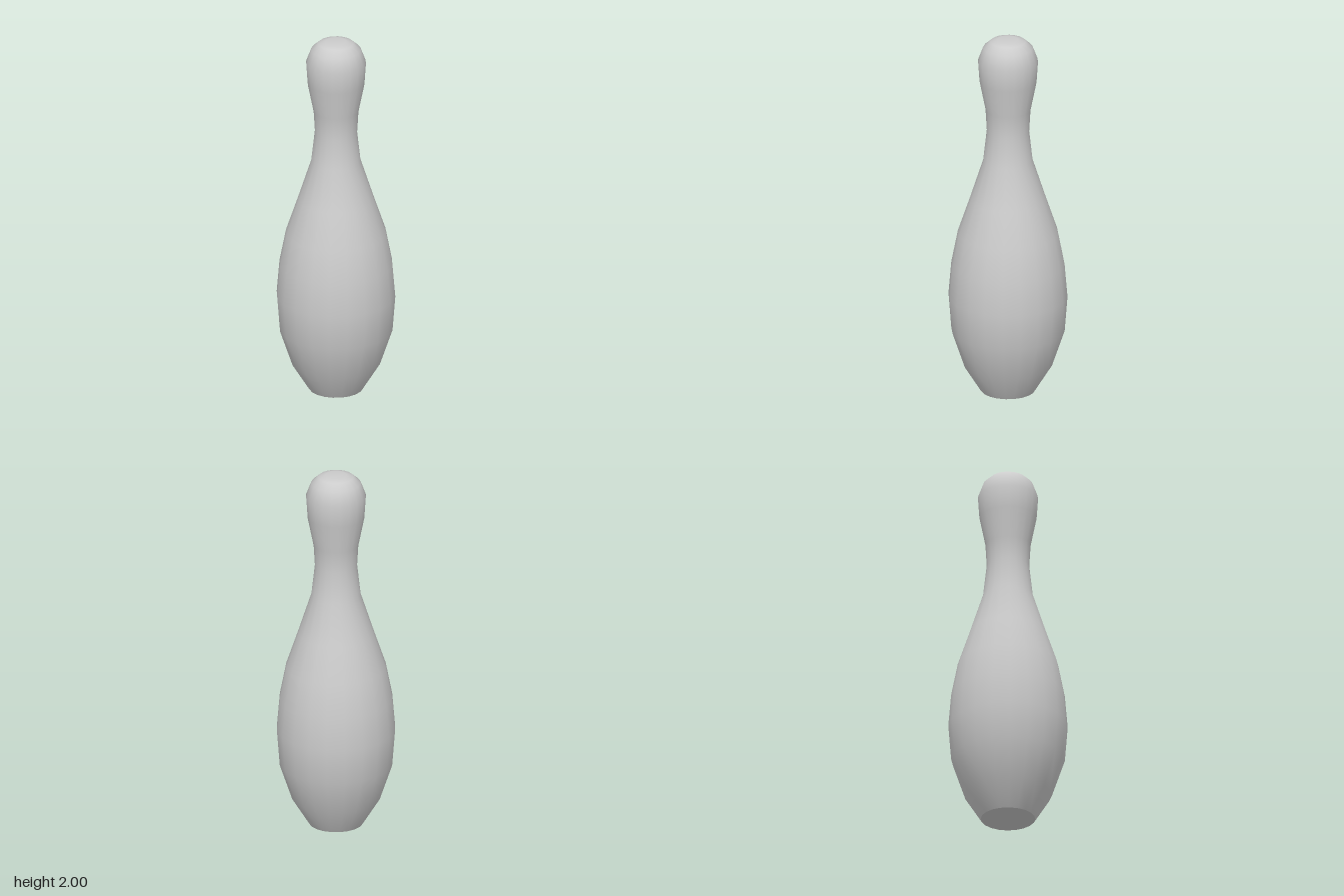
import * as THREE from 'three';

const SIDES = 20;

// Half outline from foot to crown: [radius, height]
const PROFILE = [
  [0.145, 0], [0.235, 0.145], [0.302, 0.345], [0.317, 0.54], [0.302, 0.72],
  [0.267, 0.9], [0.203, 1.09], [0.132, 1.31], [0.113, 1.48], [0.12, 1.6],
  [0.152, 1.76], [0.16, 1.88], [0.132, 1.955], [0.093, 1.99], [0.055, 2], [0, 2],
];

export function createModel() {
  const group = new THREE.Group();
  group.name = 'bowlingPin';
  const material = new THREE.MeshStandardMaterial({ color: 0xcccccc });

  // Smooth turned body with belly, neck and head
  const points = PROFILE.map(([r, y]) => new THREE.Vector2(r, y));
  const body = new THREE.Mesh(new THREE.LatheGeometry(points, SIDES), material);
  body.name = 'body';

  // Flat underside, kept separate for a sharp rim
  const base = new THREE.Mesh(new THREE.CircleGeometry(PROFILE[0][0], SIDES), material);
  base.name = 'base';
  base.rotation.x = Math.PI / 2;

  group.add(body, base);
  return group;
}
